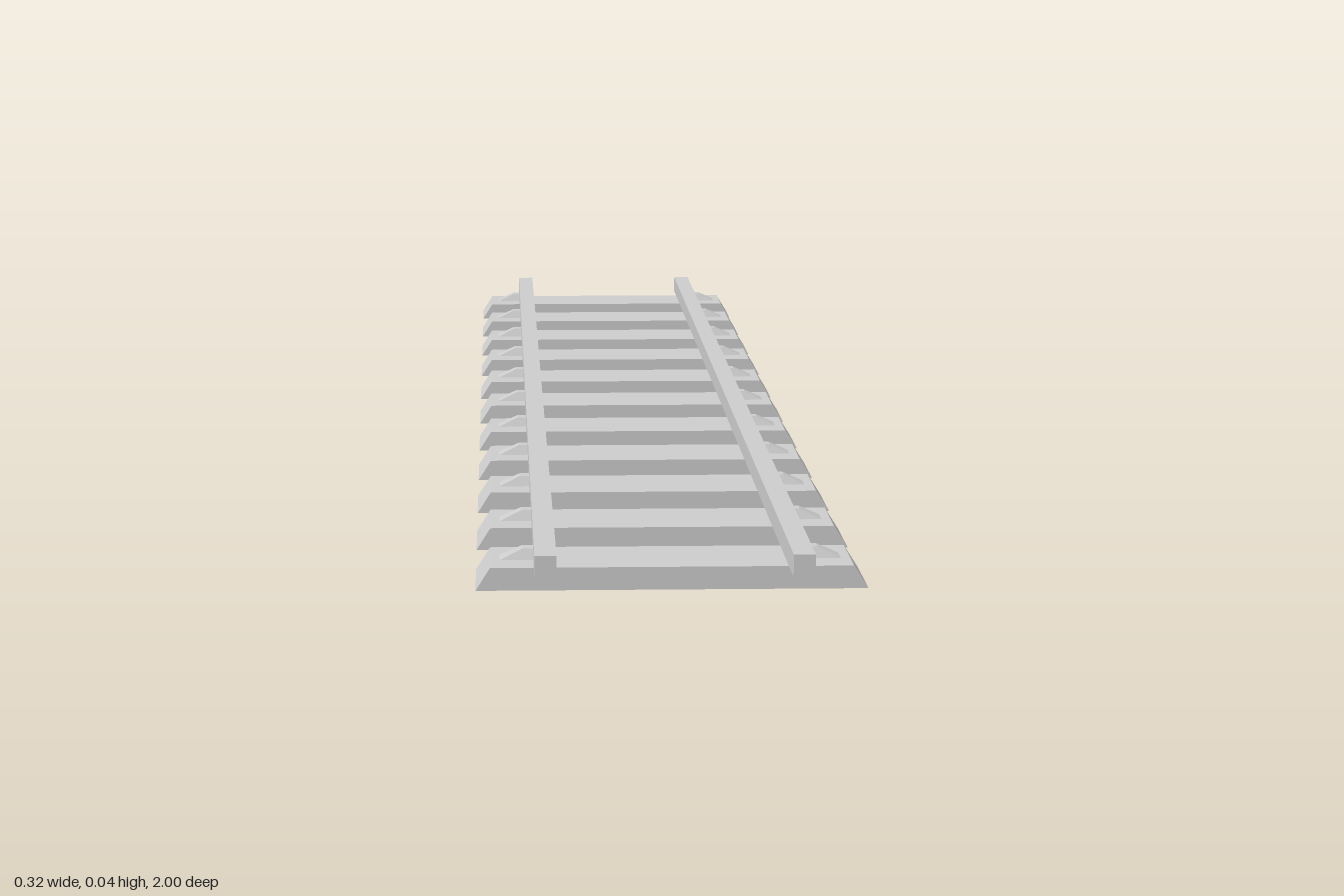
import * as THREE from 'three';

const material = new THREE.MeshStandardMaterial({ color: 0xcccccc, flatShading: true });
const TIES = 11, SPACING = 0.181, TIE_TOP = 0.019, RAIL_TOP = 0.038;

// Extrude an x-y outline along z, centred on z = 0
function prism(points, depth) {
  const shape = new THREE.Shape(points.map(([x, y]) => new THREE.Vector2(x, y)));
  return new THREE.ExtrudeGeometry(shape, { depth, bevelEnabled: false }).translate(0, 0, -depth / 2);
}

function part(name, geometry, x = 0, y = 0, z = 0) {
  const mesh = new THREE.Mesh(geometry, material);
  mesh.name = name;
  mesh.position.set(x, y, z);
  return mesh;
}

export function createModel() {
  const model = new THREE.Group();
  model.name = 'railwayTrack';

  // Two long rails
  const railGeometry = new THREE.BoxGeometry(0.018, RAIL_TOP - TIE_TOP, 2);
  for (const side of [1, -1]) {
    model.add(part(side > 0 ? 'leftRail' : 'rightRail', railGeometry, side * 0.105, (RAIL_TOP + TIE_TOP) / 2));
  }

  // Tie with sloping ends
  const tieGeometry = prism([[-0.162, 0], [0.162, 0], [0.15, TIE_TOP], [-0.15, TIE_TOP]], 0.092);

  // Rail clip: a small wedge outside the rail, narrower towards its top
  const clipGeometry = prism([[0.112, TIE_TOP], [0.142, TIE_TOP], [0.123, 0.028], [0.112, 0.028]], 0.024);
  const p = clipGeometry.attributes.position;
  for (let i = 0; i < p.count; i++) {
    if (p.getY(i) > 0.025) p.setZ(i, p.getZ(i) * 0.65);
  }
  clipGeometry.computeVertexNormals();

  for (let i = 0; i < TIES; i++) {
    const tie = new THREE.Group();
    tie.name = `tie${i + 1}`;
    tie.position.z = (i - (TIES - 1) / 2) * SPACING;
    tie.add(part('tieBeam', tieGeometry));
    for (const side of [1, -1]) {
      const clip = part(side > 0 ? 'leftClip' : 'rightClip', clipGeometry);
      if (side < 0) clip.rotation.y = Math.PI;
      tie.add(clip);
    }
    model.add(tie);
  }
  return model;
}
